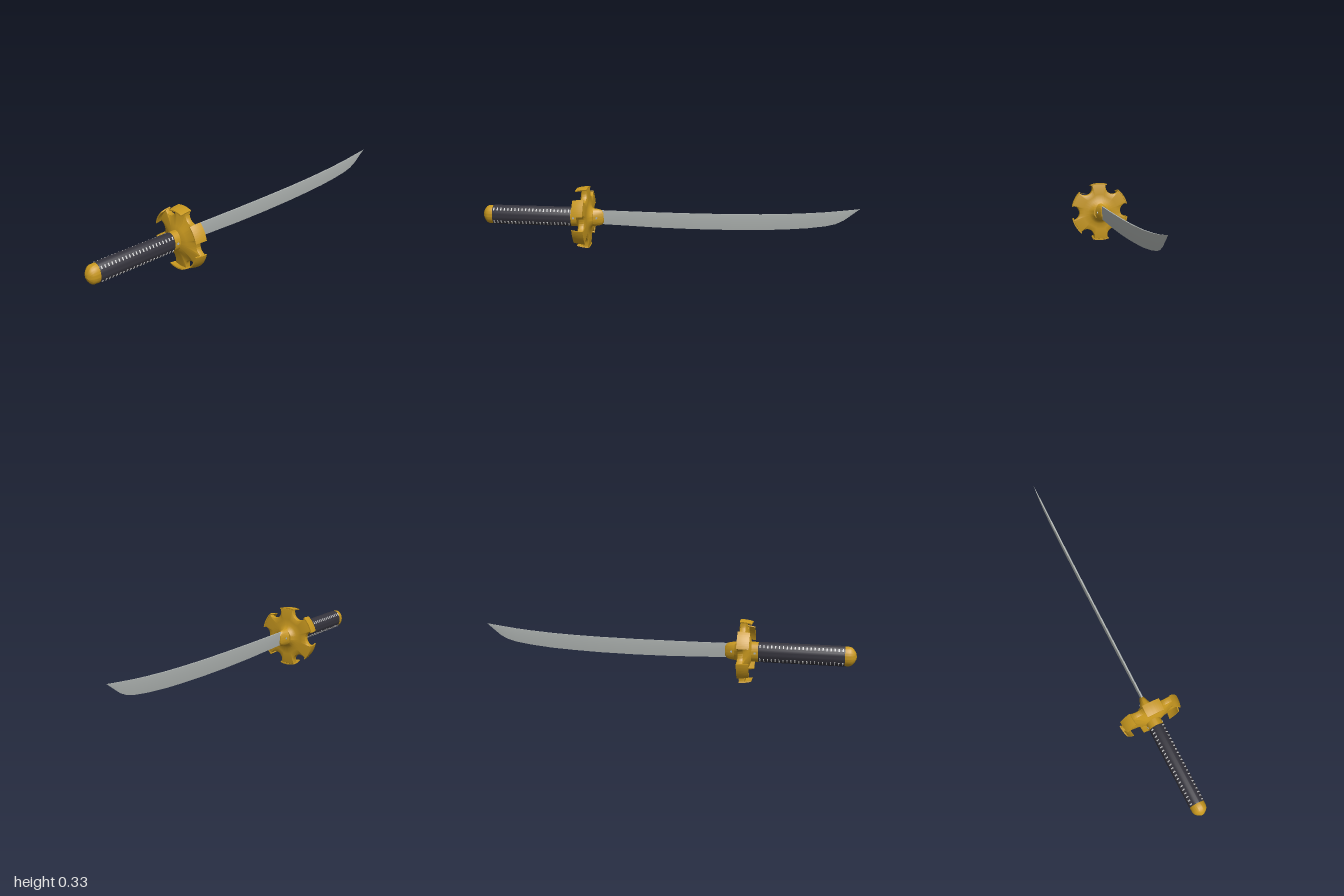
import * as THREE from 'three';
import { toCreasedNormals } from 'three/addons/utils/BufferGeometryUtils.js';

const CY = 0.168; // height of the sword's axis
const material = (name, color) => {
  const m = new THREE.MeshStandardMaterial({ color });
  m.name = name;
  return m;
};

export function createModel() {
  const gold = material('gold', 0xc8981f);
  const steel = material('steel', 0xaeb3b1);
  const wrap = material('dark wrap', 0x35343d);
  const thread = material('pale thread', 0xd0d0d0);
  const group = new THREE.Group();
  group.name = 'sword';

  const add = (name, geometry, mat, y = CY) => {
    const mesh = new THREE.Mesh(geometry, mat);
    mesh.name = name;
    mesh.position.y = y;
    group.add(mesh);
    return mesh;
  };

  // Turned part along z from [radius, z] points, listed from low z to high z
  const turned = (points, segments = 48) =>
    new THREE.LatheGeometry(points.map(p => new THREE.Vector2(...p)), segments).rotateX(Math.PI / 2);
  const oval = (points) => toCreasedNormals(turned(points).scale(0.04, 0.052, 1), 0.6);

  // Smooth dark grip
  const G0 = 0.508, G1 = 0.942;
  add('grip', oval([[0, G0], [0.98, G0], [1.01, G0 + 0.006], [1.01, G1 - 0.006], [0.98, G1], [0, G1]]), wrap);

  // Pale stitches in two rows along both sides of the grip
  const STITCHES = 22, pitch = (G1 - G0) / STITCHES;
  for (const side of [-1, 1]) for (const a of [0.72, -0.72]) for (let i = 0; i < STITCHES; i++) {
    const x = side * 0.0405 * Math.cos(a), y = 0.0527 * Math.sin(a);
    const stitch = add('stitch', new THREE.BoxGeometry(0.004, 0.016, 0.006), thread, CY + y);
    stitch.position.x = x;
    stitch.position.z = G0 + (i + 0.5) * pitch;
    stitch.rotation.z = Math.atan2(y / 0.052 ** 2, x / 0.04 ** 2);
  }

  // Pommel with a blunt cone end, and the collar between grip and guard
  add('pommel', oval([[0, 0.935], [0.95, 0.935], [0.97, 0.942], [0.95, 0.966], [0.85, 0.978],
    [0.6, 0.989], [0.3, 0.997], [0, 1.0]]), gold);
  add('frontCollar', oval([[0, 0.44], [1.0, 0.44], [1.0, 0.508], [0, 0.508]]), gold);

  // Collar tapering onto the blade: flattens in x much more than in y
  const collar = turned([[0, 0.333], [0.6, 0.334], [0.9, 0.342], [1, 0.36], [1, 0.385], [1, 0.405], [1, 0.43]]);
  const cp = collar.attributes.position;
  for (let i = 0; i < cp.count; i++) {
    const t = THREE.MathUtils.smoothstep(cp.getZ(i), 0.335, 0.415);
    cp.setX(i, cp.getX(i) * (0.014 + 0.027 * t));
    cp.setY(i, cp.getY(i) * (0.043 + 0.008 * t));
  }
  add('bladeCollar', toCreasedNormals(collar, 0.7), gold);

  // Rivets on both collars
  for (const side of [-1, 1]) for (const [x, z] of [[0.04, 0.492], [0.024, 0.37]]) {
    const rivet = add('rivet', new THREE.CylinderGeometry(0.006, 0.006, 0.005, 16).rotateZ(Math.PI / 2), steel);
    rivet.position.x = side * x;
    rivet.position.z = z;
  }

  // Guard: a shallow dish with six round notches cut into its rim
  const RIM = 0.162, NOTCH = 0.042, FIRST = THREE.MathUtils.degToRad(58), STEP = Math.PI / 3;
  const rimAt = (angle) => {
    const d = angle - FIRST - Math.round((angle - FIRST) / STEP) * STEP;
    const s = RIM * Math.sin(d);
    return Math.abs(s) < NOTCH ? RIM * Math.cos(d) - Math.sqrt(NOTCH ** 2 - s * s) : RIM;
  };
  const guard = turned([[0.01, 0.385], [0.042, 0.386], [0.052, 0.398], [0.068, 0.408], [0.1, 0.409],
    [0.135, 0.411], [0.158, 0.415], [0.162, 0.42], [0.162, 0.437], [0.158, 0.442], [0.135, 0.446],
    [0.1, 0.453], [0.07, 0.463], [0.045, 0.474], [0.01, 0.476]], 240);
  const gp = guard.attributes.position, CORE = 0.085;
  for (let i = 0; i < gp.count; i++) {
    const x = gp.getX(i), y = gp.getY(i), r = Math.hypot(x, y);
    if (r <= CORE) continue;
    const angle = Math.atan2(y, x);
    const k = (CORE + (r - CORE) * (rimAt(angle) - CORE) / (RIM - CORE)) / r;
    gp.setXY(i, x * k, y * k);
  }
  add('guard', toCreasedNormals(guard, 0.7), gold);

  // Curved lips on the six lobes, leaning inward toward the grip
  const HALF = THREE.MathUtils.degToRad(16.5);
  for (let k = 0; k < 6; k++) {
    const mid = THREE.MathUtils.degToRad(28) + k * STEP;
    const shape = new THREE.Shape();
    shape.absarc(0, 0, 0.166, mid - HALF, mid + HALF, false);
    shape.absarc(0, 0, 0.159, mid + HALF, mid - HALF, true);
    const lip = new THREE.ExtrudeGeometry(shape, { depth: 0.062, bevelEnabled: false, curveSegments: 14, steps: 4 });
    const p = lip.attributes.position;
    for (let i = 0; i < p.count; i++) {
      const t = p.getZ(i) / 0.062, s = 1 - 0.055 * t * t;
      p.setXY(i, p.getX(i) * s, p.getY(i) * s);
    }
    add('guardLip', toCreasedNormals(lip.translate(0, 0, 0.413), 0.6), gold);
  }

  // Blade: stations of [z, edge y, spine y, half thickness]
  const stations = [
    [0.37, 0.132, 0.207, 0.005], [0.2, 0.127, 0.205, 0.005], [0.05, 0.122, 0.204, 0.005],
    [-0.15, 0.12, 0.204, 0.005], [-0.35, 0.122, 0.206, 0.005], [-0.5, 0.127, 0.21, 0.005],
    [-0.62, 0.133, 0.215, 0.005], [-0.74, 0.144, 0.223, 0.005], [-0.83, 0.157, 0.231, 0.004],
    [-0.88, 0.17, 0.237, 0.004], [-0.92, 0.19, 0.242, 0.003], [-0.96, 0.221, 0.247, 0.002],
    [-1.0, 0.253, 0.253, 0.0003]];
  const pos = [], index = [];
  stations.forEach(([z, lo, hi, w], i) => {
    const ridge = lo + (hi - lo) * 0.6;
    pos.push(w * 0.8, hi, z, w, ridge, z, 0, lo, z, -w, ridge, z, -w * 0.8, hi, z);
    if (i === 0) return;
    for (let j = 0; j < 5; j++) {
      const n = (j + 1) % 5, a = (i - 1) * 5 + j, b = (i - 1) * 5 + n, c = i * 5 + j, d = i * 5 + n;
      index.push(a, b, c, b, d, c);
    }
  });
  const blade = new THREE.BufferGeometry();
  blade.setAttribute('position', new THREE.Float32BufferAttribute(pos, 3));
  blade.setIndex(index);
  add('blade', toCreasedNormals(blade, 0.3), steel, 0);

  return group;
}
